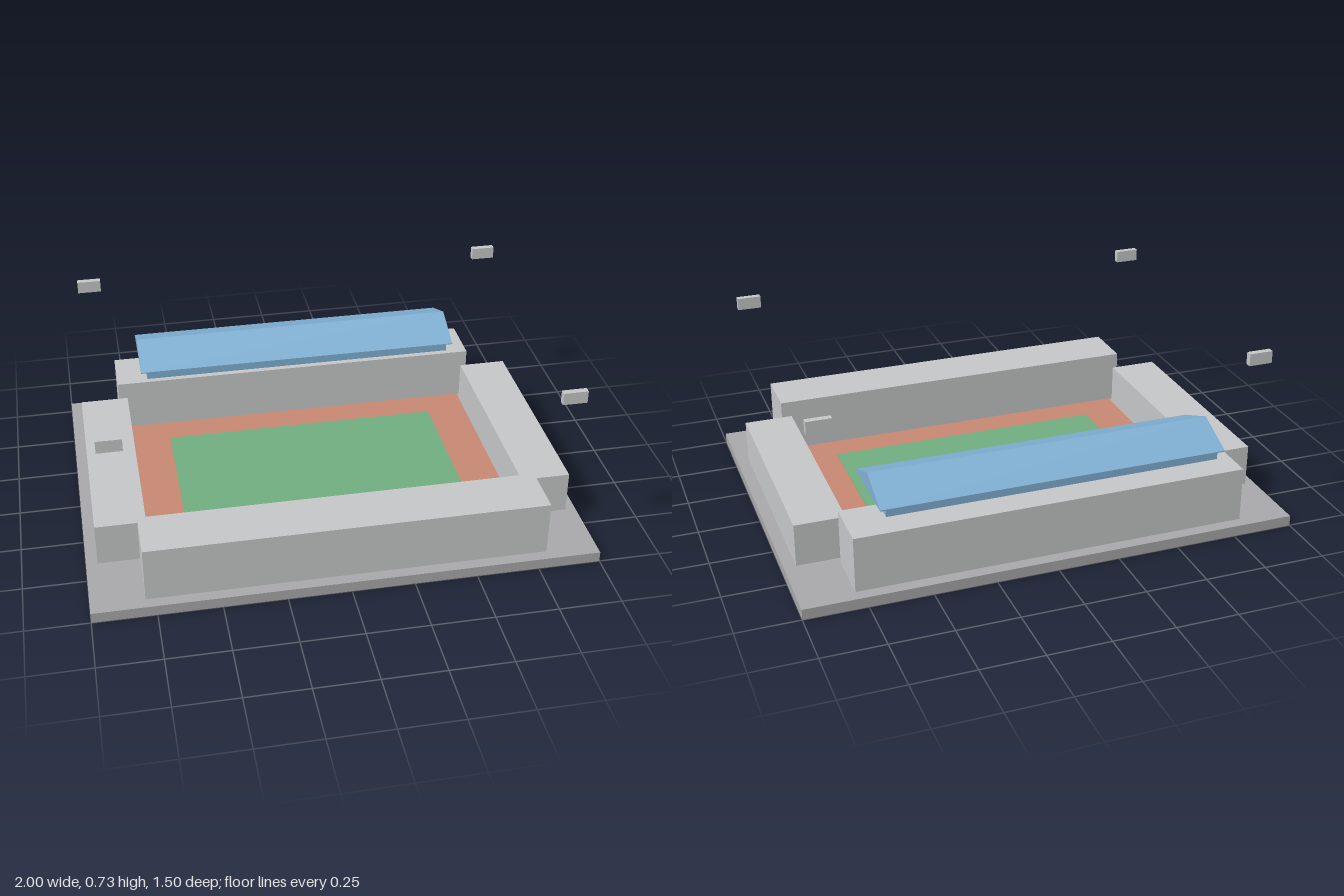
import * as THREE from 'three';

export function createModel() {
  const group = new THREE.Group();
  group.name = 'stadium';

  const mat = (name, color) => {
    const m = new THREE.MeshStandardMaterial({ color });
    m.name = name;
    return m;
  };
  const slabGrey = mat('slab grey', 0xa8a8aa);
  const concrete = mat('light concrete', 0xc5c6c7);
  const trackRed = mat('track red', 0xc68872);
  const grass = mat('grass green', 0x70ad7e);
  const roofBlue = mat('roof blue', 0x80b0d3);

  // Box given by its centre in plan, its size and its bottom and top heights
  const block = (name, material, x, z, w, d, y0, y1) => {
    const mesh = new THREE.Mesh(new THREE.BoxGeometry(w, y1 - y0, d), material);
    mesh.name = name;
    mesh.position.set(x, (y0 + y1) / 2, z);
    group.add(mesh);
  };

  // Ground slab, running track and pitch
  block('baseSlab', slabGrey, 0, 0, 2, 1.5, 0, 0.043);
  block('runningTrack', trackRed, 0, 0, 1.51, 1, 0.043, 0.052);
  block('pitch', grass, 0, 0, 1.17, 0.73, 0.052, 0.055);

  // Stands on all four sides
  for (const s of [1, -1]) {
    block(s > 0 ? 'frontStand' : 'backStand', concrete, 0, s * 0.603, 1.58, 0.217, 0.05, 0.274);
    block(s > 0 ? 'leftStand' : 'rightStand', concrete, s * 0.854, 0, 0.2, 0.92, 0.05, 0.224);
  }

  // Floodlight heads above the four corners
  for (const sx of [1, -1]) {
    for (const sz of [1, -1]) {
      block('floodlight', concrete, sx * 0.873, sz * 0.622, 0.097, 0.025, 0.679, 0.729);
    }
  }

  // Gabled canopy over the back stand, with a beam box under the eaves
  block('canopyBeam', roofBlue, 0, -0.56, 1.33, 0.316, 0.345, 0.382);
  const gable = new THREE.Shape([
    new THREE.Vector2(-0.169, 0.379),
    new THREE.Vector2(0.169, 0.379),
    new THREE.Vector2(0.169, 0.383),
    new THREE.Vector2(0, 0.453),
    new THREE.Vector2(-0.169, 0.383),
  ]);
  const roofGeo = new THREE.ExtrudeGeometry(gable, { depth: 1.38, bevelEnabled: false });
  roofGeo.translate(0, 0, -0.69).rotateY(Math.PI / 2);
  const roof = new THREE.Mesh(roofGeo, roofBlue);
  roof.name = 'canopyRoof';
  roof.position.z = -0.562;
  group.add(roof);

  return group;
}
